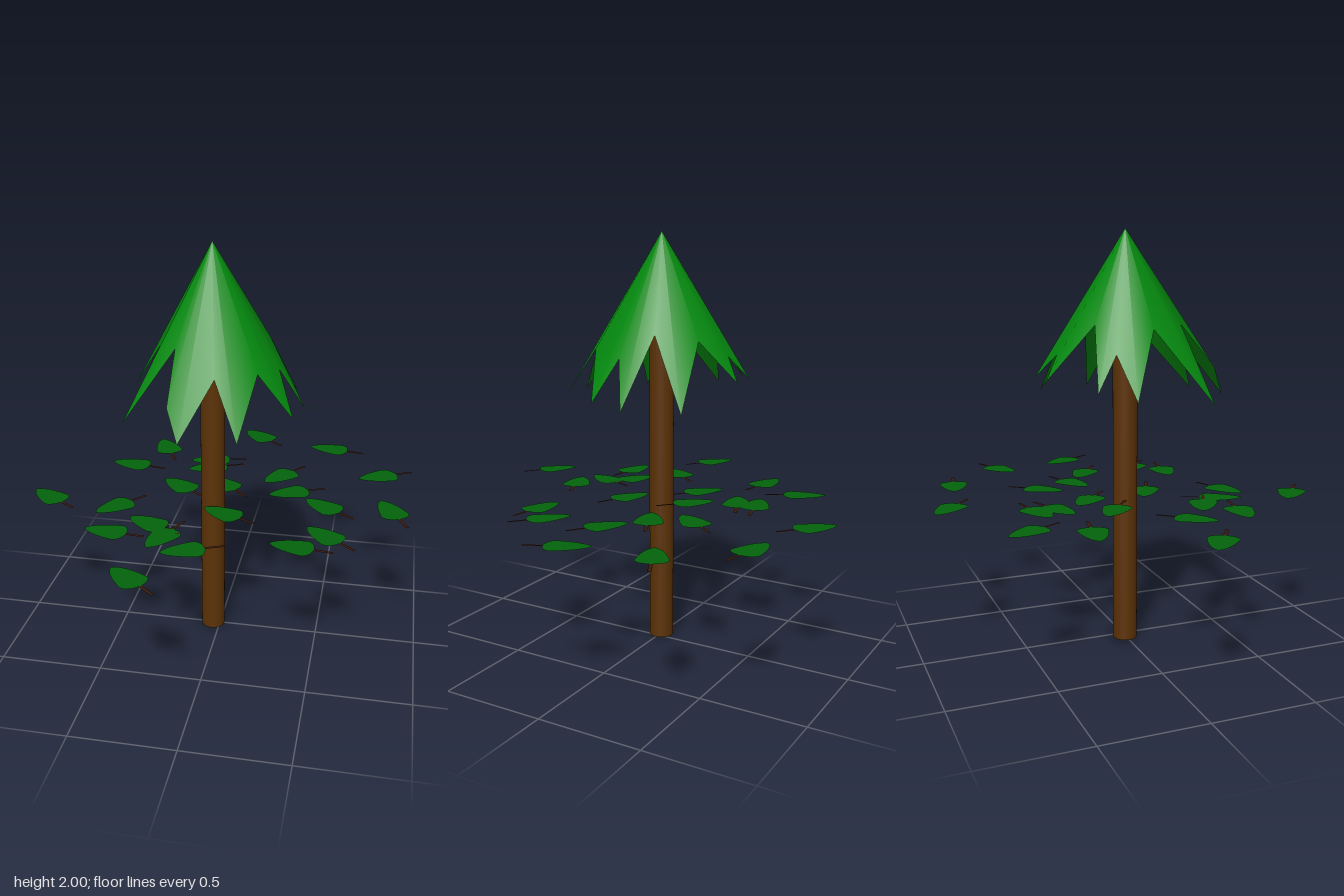
import * as THREE from 'three';

const AXIS = -0.035;      // trunk centre in x
const LEAF_Y = 0.718;

// Jagged rim of the crown: x, y, z, alternating points and notches
const RIM = [
  [0.02, 1.32, -0.43], [0.10, 1.51, -0.27],
  [0.335, 1.21, -0.31], [0.22, 1.54, -0.11],
  [0.405, 1.21, -0.04], [0.285, 1.43, 0.04],
  [0.365, 1.23, 0.14], [0.21, 1.46, 0.215],
  [0.155, 1.21, 0.43], [0.035, 1.46, 0.32],
  [-0.10, 1.21, 0.48], [-0.16, 1.35, 0.41], [-0.16, 1.56, 0.23],
  [-0.40, 1.21, 0.295], [-0.25, 1.55, 0.055],
  [-0.445, 1.25, -0.10], [-0.325, 1.45, -0.155],
  [-0.39, 1.29, -0.265], [-0.17, 1.57, -0.20],
  [-0.13, 1.32, -0.42], [-0.055, 1.43, -0.345],
];

// Each leaf: tip x, z and stem end x, z
const LEAVES = [
  [-0.01, -0.915, 0.215, -0.72], [0.375, -0.75, 0.665, -0.70],
  [-0.46, -0.695, -0.33, -0.435], [-0.65, -0.355, -0.365, -0.31],
  [0.665, -0.37, 0.93, -0.50], [0.785, -0.14, 0.915, 0.12],
  [0.42, -0.09, 0.66, 0.08], [0.455, 0.20, 0.685, 0.385],
  [0.30, 0.385, 0.59, 0.425], [-0.935, 0.05, -0.695, 0.215],
  [-0.565, 0.245, -0.375, 0.025], [-0.57, 0.40, -0.275, 0.435],
  [-0.345, 0.725, -0.115, 0.905], [-0.17, 0.565, 0.10, 0.455],
  [-0.24, -0.44, 0.04, -0.51], [-0.23, -0.325, 0.045, -0.44],
  [0.19, -0.24, 0.365, -0.465], [0.23, -0.10, 0.495, -0.22],
  [-0.39, 0.25, -0.125, 0.375], [-0.24, 0.53, -0.125, 0.255],
  [-0.10, -0.26, 0.12, -0.06], [-0.06, 0.09, 0.20, 0.21],
  [-0.32, -0.195, -0.08, -0.015],
];

// Fan of faces from the apex to the rim, shaded as a cone
function crownGeometry() {
  const pos = [], nor = [];
  const add = (p, dx, dz) => {
    const n = new THREE.Vector3(dx, 0, dz).normalize().setY(0.57).normalize();
    pos.push(...p);
    nor.push(n.x, n.y, n.z);
  };
  RIM.forEach((a, i) => {
    const b = RIM[(i + 1) % RIM.length];
    const ax = a[0] - AXIS, bx = b[0] - AXIS;
    add([AXIS, 2, 0], ax + bx, a[2] + b[2]);
    add(b, bx, b[2]);
    add(a, ax, a[2]);
  });
  const g = new THREE.BufferGeometry();
  g.setAttribute('position', new THREE.Float32BufferAttribute(pos, 3));
  g.setAttribute('normal', new THREE.Float32BufferAttribute(nor, 3));
  return g;
}

// Flat leaf blade with its tip at the origin, running along +x
function bladeGeometry() {
  const s = new THREE.Shape();
  s.moveTo(0, 0);
  s.bezierCurveTo(0.02, 0.04, 0.10, 0.062, 0.165, 0.071);
  s.bezierCurveTo(0.19, 0.066, 0.208, 0.04, 0.208, 0);
  s.bezierCurveTo(0.208, -0.04, 0.19, -0.066, 0.165, -0.071);
  s.bezierCurveTo(0.10, -0.062, 0.02, -0.04, 0, 0);
  return new THREE.ShapeGeometry(s, 8).rotateX(-Math.PI / 2);
}

export function createModel() {
  const tree = new THREE.Group();
  tree.name = 'tree';
  const mat = (color) => new THREE.MeshStandardMaterial({ color, side: THREE.DoubleSide });
  const add = (parent, name, geometry, material) => {
    const m = new THREE.Mesh(geometry, material);
    m.name = name;
    parent.add(m);
    return m;
  };

  // Trunk and crown
  const trunk = add(tree, 'trunk', new THREE.CylinderGeometry(0.059, 0.059, 1.85, 32), mat(0x5c3206));
  trunk.position.set(AXIS, 0.925, 0);
  add(tree, 'crown', crownGeometry(), mat(0x048b0f));

  // Floating leaves, all lying flat at one height
  const blade = bladeGeometry(), bladeMat = mat(0x03640c), stemMat = mat(0x3a1a0c);
  const stem = new THREE.PlaneGeometry(0.09, 0.016).rotateX(-Math.PI / 2).translate(0.252, 0, 0);
  const leaves = new THREE.Group();
  leaves.name = 'leaves';
  tree.add(leaves);
  for (const [tx, tz, ex, ez] of LEAVES) {
    const leaf = new THREE.Group();
    leaf.name = 'leaf';
    leaf.position.set(tx, LEAF_Y, tz);
    leaf.rotation.y = -Math.atan2(ez - tz, ex - tx);
    add(leaf, 'leafBlade', blade, bladeMat);
    add(leaf, 'leafStem', stem, stemMat);
    leaves.add(leaf);
  }
  return tree;
}
